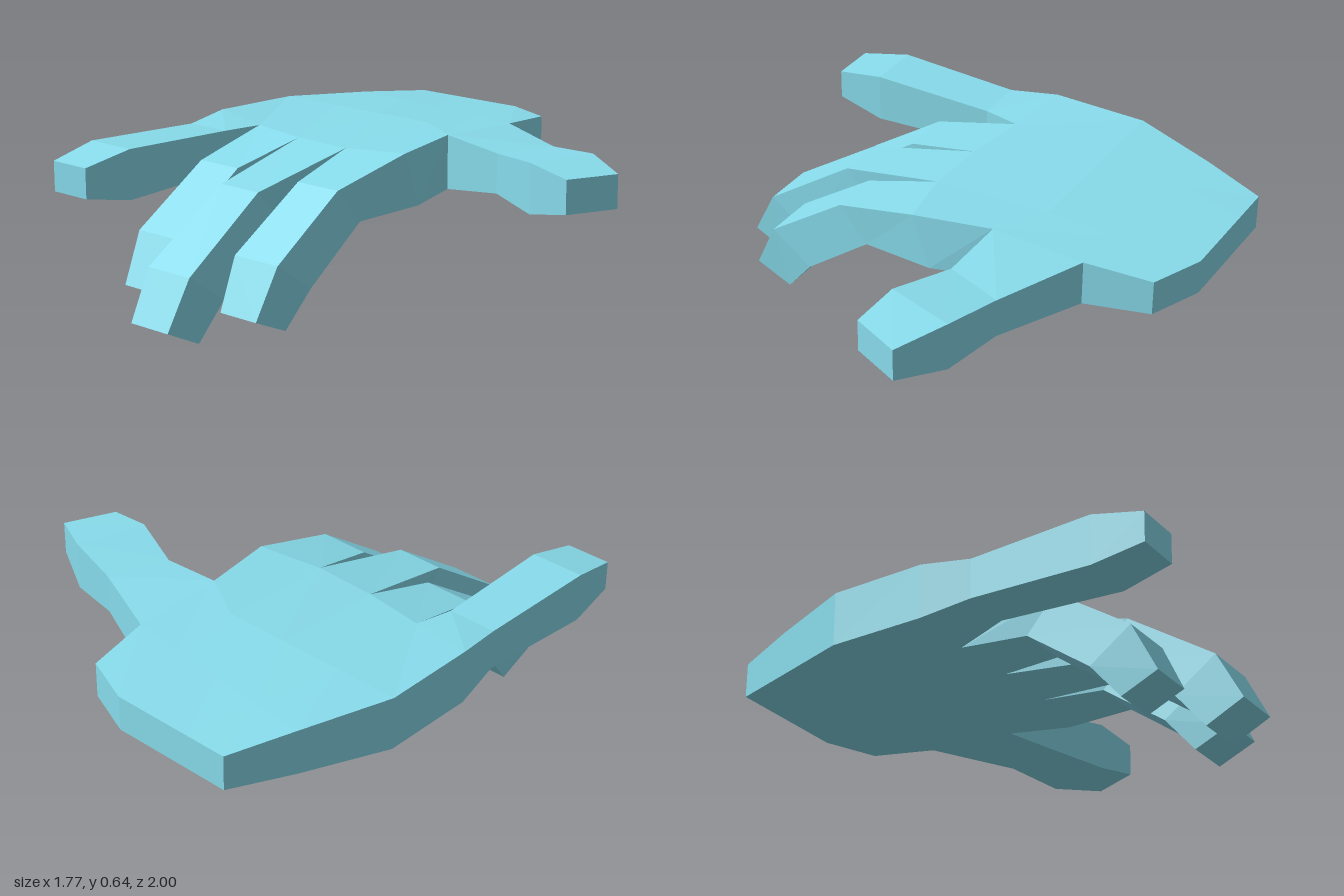
import * as THREE from 'three';

const material = new THREE.MeshStandardMaterial({ color: 0x88dcec, flatShading: true });

// Joins rings of points (upper half, then lower half reversed) into a faceted skin.
function loft(name, rings, { capStart = false, capEnd = false, skip = () => false } = {}) {
  const pos = [];
  const quad = (a, b, c, d) => pos.push(...a, ...b, ...c, ...a, ...c, ...d);
  const n = rings[0].length;
  for (let r = 0; r < rings.length - 1; r++) {
    const a = rings[r], b = rings[r + 1];
    for (let i = 0; i < n; i++) {
      const j = (i + 1) % n;
      if (!skip(r, i)) quad(a[i], b[i], b[j], a[j]);
    }
  }
  for (let k = 0; k < n / 2 - 1; k++) {
    const s = rings[0], e = rings[rings.length - 1];
    if (capStart) quad(s[k], s[k + 1], s[n - 2 - k], s[n - 1 - k]);
    if (capEnd) quad(e[n - 1 - k], e[n - 2 - k], e[k + 1], e[k]);
  }
  const geo = new THREE.BufferGeometry();
  geo.setAttribute('position', new THREE.Float32BufferAttribute(pos, 3));
  geo.computeVertexNormals();
  const mesh = new THREE.Mesh(geo, material);
  mesh.name = name;
  return mesh;
}

// Palm row: [x, z] points with one upper and one lower height
const row = (points, top, bottom) => [
  ...points.map(([x, z]) => [x, top, z]),
  ...points.map(([x, z]) => [x, bottom, z]).reverse(),
];

// Finger section: x range, then [z, y] of the upper and lower edge
const section = (x0, x1, [zt, yt], [zb, yb]) => [
  [x0, yt, zt], [x1, yt, zt], [x1, yb, zb], [x0, yb, zb],
];

export function createModel() {
  const hand = new THREE.Group();
  hand.name = 'hand';

  // Palm, from wrist to knuckles
  const knuckleTop = [
    [-0.885, 0.64, 0], [-0.622, 0.62, 0.045], [-0.362, 0.615, 0.085],
    [-0.098, 0.615, 0.095], [0.163, 0.625, 0.045],
  ];
  const knuckleBottom = [
    [-0.885, 0.42, 0], [-0.622, 0.415, 0], [-0.362, 0.41, 0.02],
    [-0.098, 0.41, 0.02], [0.165, 0.41, -0.03],
  ];
  const palm = [
    row([[-0.66, -1], [-0.49, -1], [-0.32, -1], [-0.15, -1], [0.06, -0.915]], 0.603, 0.462),
    row([[-0.76, -0.74], [-0.55, -0.72], [-0.33, -0.7], [-0.11, -0.68], [0.105, -0.65]], 0.622, 0.44),
    row([[-0.885, -0.39], [-0.62, -0.39], [-0.36, -0.39], [-0.1, -0.39], [0.105, -0.27]], 0.637, 0.42),
    [...knuckleTop, ...[...knuckleBottom].reverse()],
  ];
  // The side quad under the thumb is left open
  hand.add(loft('palm', palm, { capStart: true, skip: (r, i) => r === 1 && i === 4 }));

  // Fingers grow from neighbouring knuckle points
  const bentShort = [
    [[0.39, 0.54], [0.27, 0.4]], [[0.71, 0.32], [0.54, 0.2]], [[0.805, 0.125], [0.655, 0.06]],
  ];
  const bentLong = [
    [[0.535, 0.515], [0.415, 0.375]], [[0.9, 0.265], [0.73, 0.145]], [[1, 0.073], [0.848, 0]],
  ];
  const straight = [
    [[0.2, 0.617], [0.2, 0.455]], [[0.71, 0.63], [0.71, 0.43]], [[0.915, 0.588], [0.915, 0.468]],
  ];
  const fingers = [
    ['littleFinger', straight, [[-0.855, -0.655], [-0.867, -0.645], [-0.848, -0.663]]],
    ['ringFinger', bentShort, [[-0.595, -0.39], [-0.603, -0.382], [-0.584, -0.4]]],
    ['middleFinger', bentLong, [[-0.327, -0.13], [-0.338, -0.117], [-0.328, -0.13]]],
    ['indexFinger', bentShort, [[-0.065, 0.14], [-0.076, 0.145], [-0.058, 0.127]]],
  ];
  fingers.forEach(([name, edges, widths], i) => {
    const base = [knuckleTop[i], knuckleTop[i + 1], knuckleBottom[i + 1], knuckleBottom[i]];
    const rings = edges.map(([t, b], k) => section(...widths[k], t, b));
    hand.add(loft(name, [base, ...rings], { capEnd: true }));
  });

  // Thumb, each section spanning a front and a back [x, z] point
  const thumbSection = ([xf, zf], [xb, zb], top, bottom) => [
    [xf, top, zf], [xb, top, zb], [xb, bottom, zb], [xf, bottom, zf],
  ];
  const thumbBase = [palm[2][4], palm[1][4], palm[1][5], palm[2][5]];
  hand.add(loft('thumb', [
    thumbBase,
    thumbSection([0.37, -0.25], [0.455, -0.49], 0.608, 0.45),
    thumbSection([0.61, -0.15], [0.69, -0.43], 0.627, 0.43),
    thumbSection([0.8, -0.125], [0.885, -0.325], 0.598, 0.465),
  ], { capEnd: true }));

  return hand;
}
